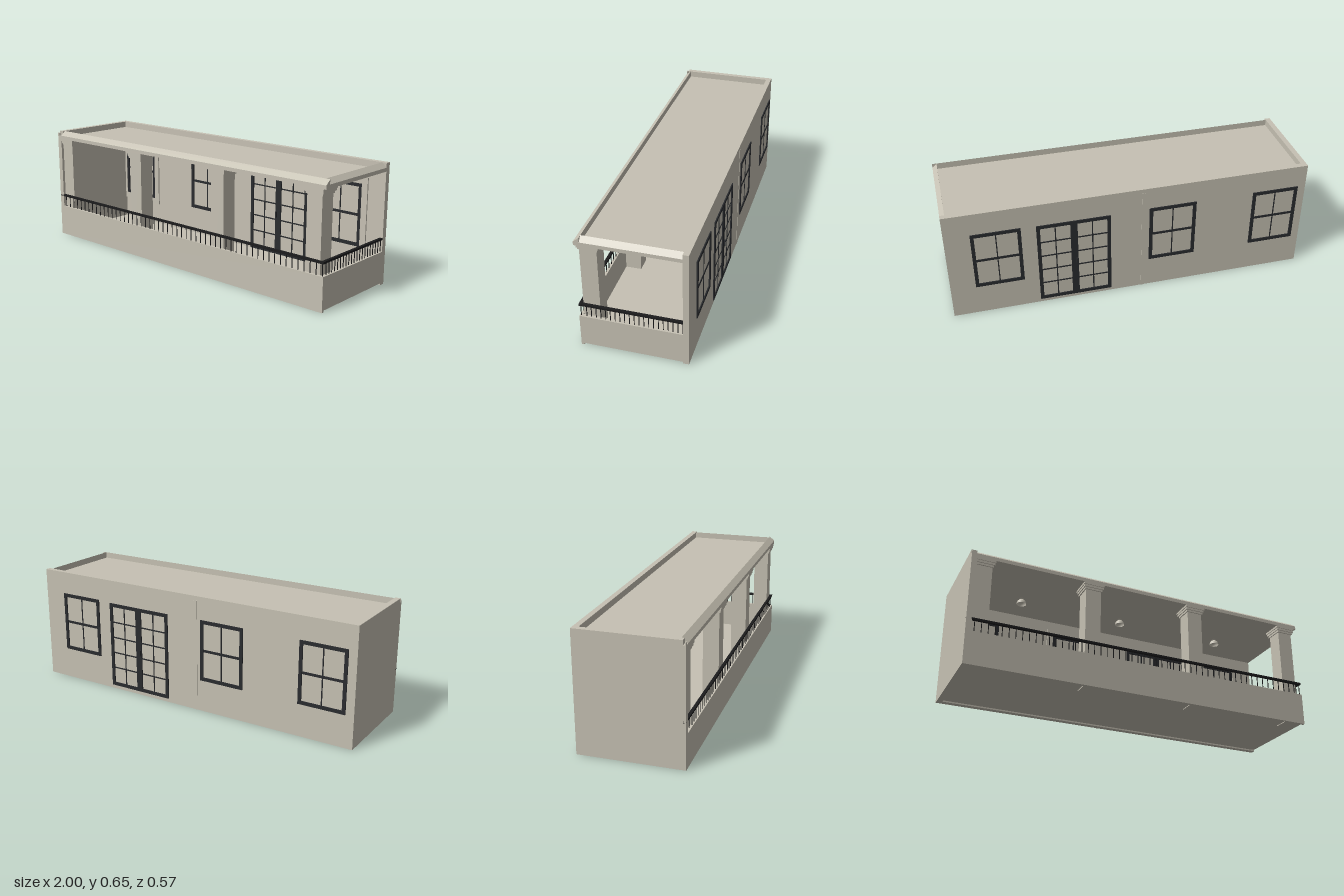
import * as THREE from 'three';

const mat = (name, color) => {
  const m = new THREE.MeshStandardMaterial({ color });
  m.name = name;
  return m;
};

export function createModel() {
  const plaster = mat('plaster beige', 0xc6c1b3);
  const black = mat('railing black', 0x1c1c1d);
  const charcoal = mat('frame charcoal', 0x292b2e);
  const model = new THREE.Group();
  model.name = 'balcony';

  const group = (name, parent = model) => {
    const g = new THREE.Group();
    g.name = name;
    parent.add(g);
    return g;
  };
  // Box given by its two extreme corners
  const box = (name, x0, x1, y0, y1, z0, z1, m = plaster, parent = model) => {
    const mesh = new THREE.Mesh(new THREE.BoxGeometry(x1 - x0, y1 - y0, z1 - z0), m);
    mesh.position.set((x0 + x1) / 2, (y0 + y1) / 2, (z0 + z1) / 2);
    mesh.name = name;
    parent.add(mesh);
    return mesh;
  };

  // Shell: floor, closed back and left walls, low front and right parapets
  box('floor', -0.97, 0.98, 0.008, 0.02, -0.25, 0.265);
  box('backWall', -1, 1, 0, 0.655, -0.28, -0.25);
  box('leftWall', -1, -0.97, 0, 0.655, -0.25, 0.265);
  box('leftWallEnd', -1, -0.97, 0.183, 0.63, 0.265, 0.28);
  box('frontParapet', -1, 1, 0, 0.183, 0.265, 0.28);
  box('rightParapet', 0.98, 1, 0.01, 0.183, -0.25, 0.265);
  box('backSeam', -0.075, -0.055, 0, 0.63, -0.282, -0.28);

  // Roof slab with edge beams
  box('roof', -0.97, 0.975, 0.61, 0.62, -0.25, 0.25);
  box('frontBeam', -0.97, 1, 0.61, 0.63, 0.25, 0.28);
  box('rightBeam', 0.975, 1, 0.61, 0.63, -0.25, 0.25);

  // Sloped rims: outward triangular prisms, mitred where they meet
  const rimShape = (w) => new THREE.Shape([
    new THREE.Vector2(0, 0.63), new THREE.Vector2(w, 0.63), new THREE.Vector2(0, 0.655),
  ]);
  const rim = (name, w, length) => {
    const geo = new THREE.ExtrudeGeometry(rimShape(w), { depth: length, bevelEnabled: false });
    const mesh = new THREE.Mesh(geo, plaster);
    mesh.name = name;
    model.add(mesh);
    return mesh;
  };
  const rightRim = rim('rightRim', 0.025, 0.53);
  rightRim.position.set(0.975, 0, -0.25);
  const frontRim = rim('frontRim', 0.03, 1.97);
  frontRim.rotation.y = -Math.PI / 2;
  frontRim.position.set(1, 0, 0.25);
  // Trim the front end of the right rim along the front slope
  const p = rightRim.geometry.attributes.position;
  for (let i = 0; i < p.count; i++) {
    if (p.getZ(i) > 0.5) p.setZ(i, p.getY(i) > 0.64 ? 0.5 : 0.53);
  }
  rightRim.geometry.computeVertexNormals();
  box('frontLip', -1, -0.985, 0.63, 0.645, 0.275, 0.28);

  // Square pillars with stepped capitals
  for (const x of [-0.927, -0.315, 0.31, 0.927]) {
    const g = group('pillar');
    const z = 0.221;
    box('shaft', x - 0.044, x + 0.044, 0.004, 0.61, z - 0.044, z + 0.044, plaster, g);
    [[0.05, 0.573, 0.585], [0.055, 0.585, 0.598], [0.059, 0.598, 0.61]].forEach(([r, y0, y1]) =>
      box('capital', x - r, x + r, y0, y1, z - r, z + r, plaster, g));
  }

  // Railing: rails and thin balusters on the front and right side
  const railing = group('railing');
  box('frontRail', -1, 1, 0.246, 0.257, 0.265, 0.28, black, railing);
  box('rightRail', 0.982, 0.998, 0.246, 0.257, -0.25, 0.265, black, railing);
  const bar = 0.0017;
  for (let i = 0; i < 56; i++) {
    const x = -0.99 + i * 0.036;
    box('baluster', x - bar, x + bar, 0.183, 0.246, 0.2725 - bar, 0.2725 + bar, black, railing);
  }
  for (let i = 0; i < 21; i++) {
    const z = 0.243 - i * 0.0245;
    box('baluster', 0.99 - bar, 0.99 + bar, 0.183, 0.246, z - bar, z + bar, black, railing);
  }

  // Rectangular frame standing across the back wall, at both faces
  const frame = (g, x0, x1, y0, y1, t, zIn, zOut) => {
    for (const [a, b] of [[-0.28 - zOut, -0.28], [-0.25, -0.25 + zIn]]) {
      box('frameSide', x0, x0 + t, y0, y1, a, b, charcoal, g);
      box('frameSide', x1 - t, x1, y0, y1, a, b, charcoal, g);
      box('frameTop', x0 + t, x1 - t, y1 - t, y1, a, b, charcoal, g);
      box('frameBottom', x0 + t, x1 - t, y0, y0 + t, a, b, charcoal, g);
    }
  };
  // Glazing bar on both faces of the wall
  const glazingBar = (g, x0, x1, y0, y1) => {
    box('glazingBar', x0, x1, y0, y1, -0.283, -0.28, charcoal, g);
    box('glazingBar', x0, x1, y0, y1, -0.25, -0.247, charcoal, g);
  };

  // Sash windows with a raised plaster surround inside
  for (const x of [-0.822, -0.23, 0.733]) {
    const g = group('window');
    const x0 = x - 0.132, x1 = x + 0.132, y0 = 0.182, y1 = 0.527, s = 0.035;
    frame(g, x0, x1, y0, y1, 0.019, 0.006, 0.006);
    glazingBar(g, x0 + 0.019, x1 - 0.019, 0.348, 0.362);
    glazingBar(g, x - 0.003, x + 0.003, y0 + 0.019, y1 - 0.019);
    const xl = Math.max(x0 - s, -0.97);
    box('surroundSide', xl, x0, y0 - s, y1 + s, -0.25, -0.242, plaster, g);
    box('surroundSide', x1, x1 + s, y0 - s, y1 + s, -0.25, -0.242, plaster, g);
    box('surroundTop', x0, x1, y1, y1 + s, -0.25, -0.242, plaster, g);
    box('surroundBottom', x0, x1, y0 - s, y0, -0.25, -0.242, plaster, g);
  }

  // Double glazed door: two leaves, each two panes wide and five high
  const door = group('doubleDoor');
  for (const x0 of [0.118, 0.319]) {
    const x1 = x0 + 0.201, y0 = 0.022, y1 = 0.522, t = 0.019, mid = (x0 + x1) / 2;
    frame(door, x0, x1, y0, y1, t, 0.006, 0.006);
    glazingBar(door, mid - 0.003, mid + 0.003, y0 + t, y1 - t);
    for (let i = 1; i < 5; i++) {
      const y = y0 + t + (i * (y1 - y0 - 2 * t)) / 5;
      glazingBar(door, x0 + t, x1 - t, y - 0.0035, y + 0.0035);
    }
  }
  for (const z of [-0.29, -0.24]) box('doorHandle', 0.304, 0.312, 0.24, 0.275, z - 0.004, z + 0.004, charcoal, door);

  // Dome ceiling lamps
  const shade = plaster.clone();
  shade.side = THREE.DoubleSide;
  const profile = [[0.027, 0.573], [0.0265, 0.58], [0.023, 0.59], [0.016, 0.598], [0.007, 0.603],
    [0.006, 0.605], [0.012, 0.61]].map(([r, y]) => new THREE.Vector2(r, y));
  for (const x of [-0.625, -0.02, 0.62]) {
    const lamp = new THREE.Mesh(new THREE.LatheGeometry(profile, 24), shade);
    lamp.position.set(x, 0, -0.045);
    lamp.name = 'ceilingLamp';
    model.add(lamp);
  }
  return model;
}
